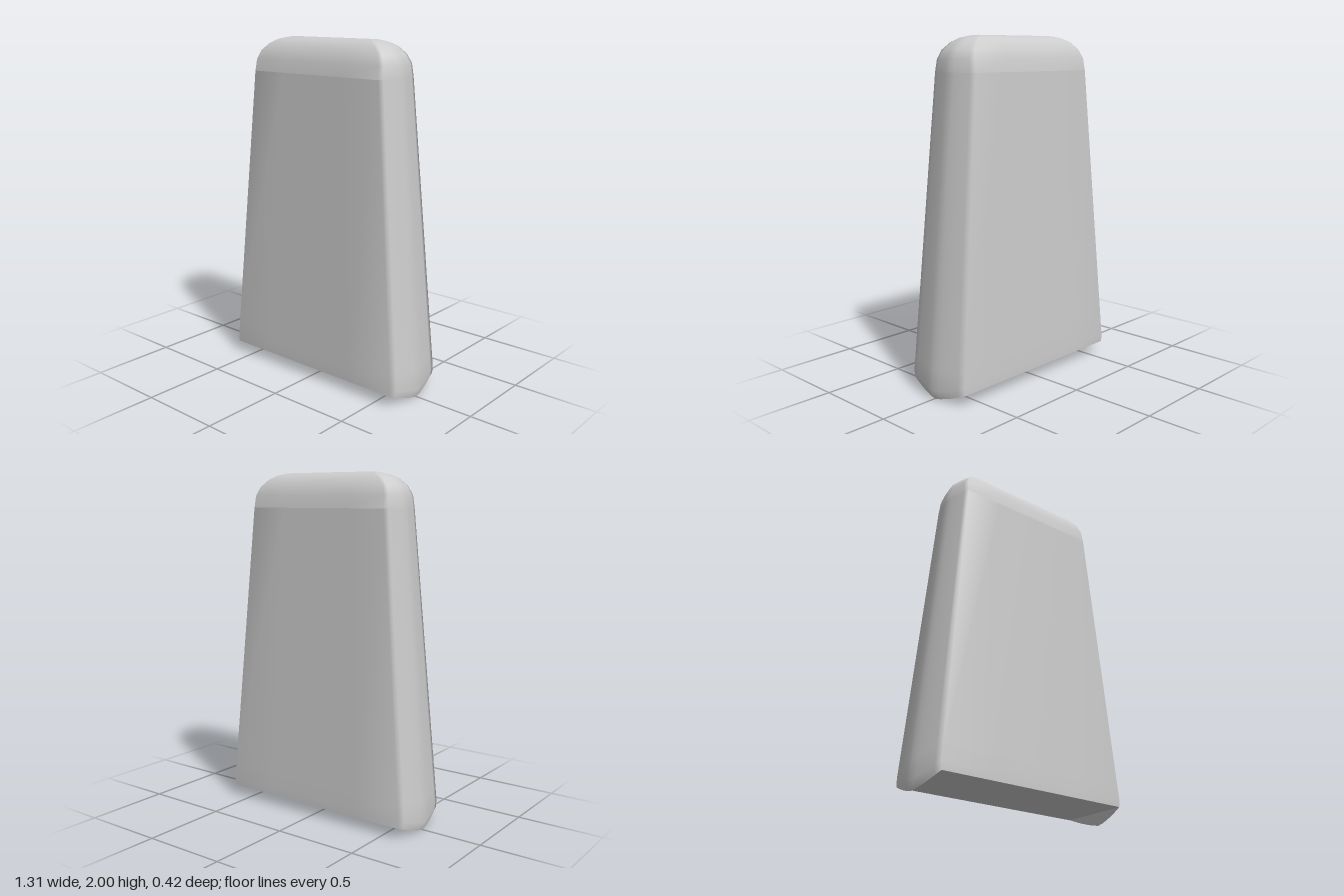
import * as THREE from 'three';

const FACE = 4;   // segments across the broad faces
const SIDE = 10;  // segments around each bowed side

// One horizontal loop: half width a at the corners, b at mid-side, half depth c;
// dip lowers the middle of the sides.
function ring({ y, a, b, c, dip = 0 }) {
  const pts = [];
  const broad = (s) => {
    for (let i = 0; i < FACE; i++) pts.push([s * a * (-1 + (2 * i) / FACE), y, s * c]);
  };
  const bowed = (s) => {
    for (let i = 0; i < SIDE; i++) {
      const t = 1 - (2 * i) / SIDE;
      const bow = 1 - Math.pow(Math.abs(t), 1.35);
      pts.push([s * (a + (b - a) * bow), y - dip * bow, s * t * c]);
    }
  };
  broad(1);
  bowed(1);
  broad(-1);
  bowed(-1);
  return pts;
}

// Smooth surface through equal-length rows of points
function loft(rows, closed, material, name) {
  const n = rows[0].length;
  const index = [];
  for (let r = 0; r < rows.length - 1; r++) {
    for (let j = 0; j < (closed ? n : n - 1); j++) {
      const k = (j + 1) % n;
      const p = r * n + j, q = r * n + k;
      index.push(p, q, q + n, p, q + n, p + n);
    }
  }
  const geometry = new THREE.BufferGeometry();
  geometry.setAttribute('position', new THREE.Float32BufferAttribute(rows.flat(2), 3));
  geometry.setIndex(index);
  geometry.computeVertexNormals();
  const mesh = new THREE.Mesh(geometry, material);
  mesh.name = name;
  return mesh;
}

export function createModel() {
  const group = new THREE.Group();
  group.name = 'taperedSlab';
  const grey = new THREE.MeshStandardMaterial({ color: 0xcccccc, side: THREE.DoubleSide });
  grey.name = 'light grey';

  // Tapered body with bowed sides that hang below the underside
  const bottom = ring({ y: 0.065, a: 0.605, b: 0.638, c: 0.21, dip: 0.065 });
  const body = [
    bottom,
    ring({ y: 0.11, a: 0.607, b: 0.655, c: 0.211, dip: 0.06 }),
    ring({ y: 0.2, a: 0.599, b: 0.645, c: 0.208, dip: 0.03 }),
    ring({ y: 1.8, a: 0.455, b: 0.497, c: 0.16 }),
  ];
  group.add(loft(body, true, grey, 'body'));

  // Rounded top
  const top = [
    { y: 1.8, a: 0.455, b: 0.497, c: 0.16 },
    { y: 1.87, a: 0.45, b: 0.489, c: 0.149 },
    { y: 1.92, a: 0.43, b: 0.464, c: 0.13 },
    { y: 1.96, a: 0.39, b: 0.422, c: 0.104 },
    { y: 1.985, a: 0.345, b: 0.37, c: 0.074 },
    { y: 1.997, a: 0.3, b: 0.315, c: 0.038 },
    { y: 2, a: 0.28, b: 0.28, c: 0 },
  ].map(ring);
  group.add(loft(top, true, grey, 'roundedTop'));

  // Flat underside
  const underside = [
    [[-0.605, 0.065, -0.21], [0.605, 0.065, -0.21]],
    [[-0.605, 0.065, 0.21], [0.605, 0.065, 0.21]],
  ];
  group.add(loft(underside, false, grey, 'underside'));

  // Inner faces of the two hanging side lips
  for (const [start, name] of [[FACE, 'leftLip'], [2 * FACE + SIDE, 'rightLip']]) {
    const outer = [];
    for (let i = 0; i <= SIDE; i++) outer.push(bottom[(start + i) % bottom.length]);
    const inner = outer.map(([x, , z]) => [Math.sign(x) * 0.605, 0.065, z]);
    group.add(loft([inner, outer], false, grey, name));
  }

  return group;
}
